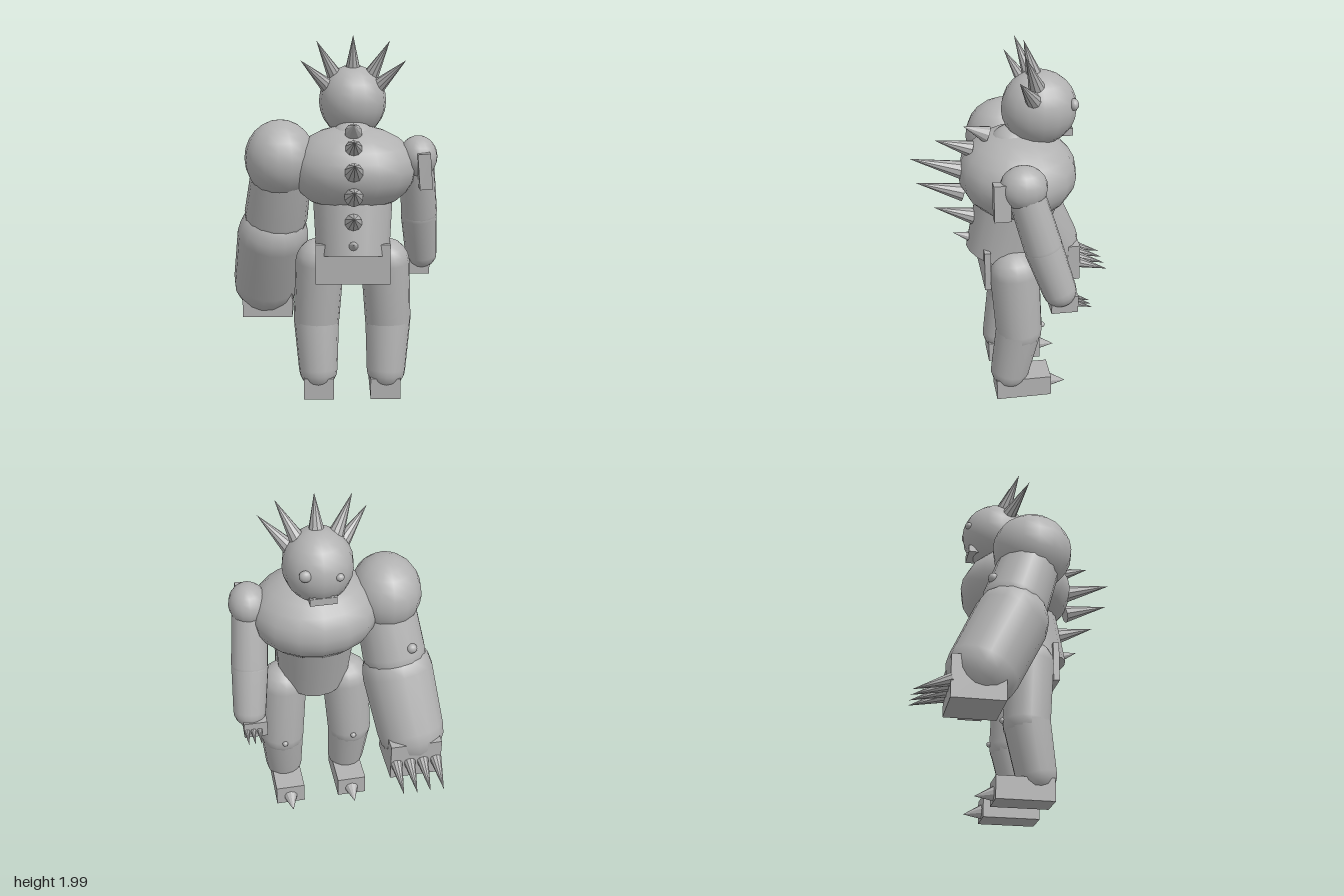
import * as THREE from 'three';

const V = (p) => new THREE.Vector3(...p);
const UP = new THREE.Vector3(0, 1, 0);

export function createModel() {
  const root = new THREE.Group();
  root.name = 'spikedGiant';
  const grey = new THREE.MeshStandardMaterial({ color: 0xb2b2b2 });
  grey.name = 'stone grey';

  const add = (name, geometry, position, parent = root) => {
    const mesh = new THREE.Mesh(geometry, grey);
    mesh.name = name;
    mesh.position.set(...position);
    parent.add(mesh);
    return mesh;
  };

  const ball = (name, center, radii, parent) => {
    const geo = new THREE.SphereGeometry(1, 16, 12).scale(...radii);
    return add(name, geo, center, parent);
  };

  const box = (name, min, max, parent) => {
    const size = max.map((v, i) => v - min[i]);
    return add(name, new THREE.BoxGeometry(...size), max.map((v, i) => (v + min[i]) / 2), parent);
  };

  // Faceted cone running from the middle of its base to its tip
  const spike = (name, base, tip, radius, parent) => {
    const dir = V(tip).sub(V(base));
    const geo = new THREE.ConeGeometry(radius, dir.length(), 10).toNonIndexed();
    geo.computeVertexNormals();
    const mesh = add(name, geo, base.map((v, i) => (v + tip[i]) / 2), parent);
    mesh.quaternion.setFromUnitVectors(UP, dir.normalize());
    return mesh;
  };

  // Tapered limb with a rounded end at each joint, revolved round its axis
  const limb = (name, from, to, r0, r1, parent) => {
    const dir = V(to).sub(V(from));
    const len = dir.length();
    const profile = [];
    for (let i = 0; i <= 5; i++) {
      const a = (i / 5) * Math.PI / 2;
      profile.push(new THREE.Vector2(r1 * Math.sin(a), -r1 * Math.cos(a)));
    }
    for (let i = 0; i <= 5; i++) {
      const a = (i / 5) * Math.PI / 2;
      profile.push(new THREE.Vector2(r0 * Math.cos(a), len + r0 * Math.sin(a)));
    }
    const mesh = add(name, new THREE.LatheGeometry(profile, 16), to, parent);
    mesh.quaternion.setFromUnitVectors(UP, dir.normalize().negate());
    return mesh;
  };

  const group = (name) => {
    const g = new THREE.Group();
    g.name = name;
    root.add(g);
    return g;
  };

  // Trunk; the face, claws and toes point to -z
  const cx = 0.1;
  ball('chest', [cx, 1.28, 0.024], [0.35, 0.235, 0.315]);
  ball('neck', [cx, 1.44, 0.045], [0.125, 0.1, 0.125]);
  const belly = add('belly', new THREE.CylinderGeometry(0.225, 0.2, 0.42, 18), [cx, 1.01, 0.06]);
  belly.rotation.x = -0.25;
  box('loinPlate', [cx - 0.2, 0.68, 0.195], [cx + 0.2, 0.9, 0.228]);

  // Head with uneven eyes, jaw and two tusks
  const head = group('head');
  ball('skull', [cx, 1.632, -0.09], [0.184, 0.196, 0.198], head);
  ball('largeEye', [0.19, 1.668, -0.255], [0.033, 0.031, 0.025], head);
  ball('smallEye', [0.02, 1.65, -0.265], [0.022, 0.02, 0.02], head);
  box('jaw', [cx - 0.07, 1.49, -0.258], [cx + 0.07, 1.53, -0.13], head);
  for (const s of [-1, 1]) {
    spike('tusk', [cx + s * 0.045, 1.53, -0.245], [cx + s * 0.045, 1.57, -0.25], 0.012, head);
    spike('outerCrownSpike', [cx + s * 0.135, 1.715, -0.04], [cx + s * 0.28, 1.86, 0.053], 0.042, head);
    spike('innerCrownSpike', [cx + s * 0.1, 1.775, -0.06], [cx + s * 0.195, 1.96, 0.01], 0.042, head);
  }
  spike('topCrownSpike', [cx, 1.8, -0.065], [cx, 1.99, -0.01], 0.043, head);

  // Row of spikes down the spine: base y, base z, tip y, tip z, radius
  const spine = group('spine');
  for (const [by, bz, ty, tz, r] of [
    [1.495, 0.18, 1.548, 0.305, 0.047],
    [1.42, 0.265, 1.48, 0.455, 0.046],
    [1.305, 0.32, 1.385, 0.587, 0.05],
    [1.175, 0.315, 1.245, 0.56, 0.05],
    [1.03, 0.26, 1.095, 0.472, 0.047],
    [0.905, 0.28, 0.937, 0.376, 0.028],
  ]) spike('spineSpike', [cx, by, bz], [cx, ty, tz], r, spine);

  // Legs, mirrored about the body line
  for (const s of [-1, 1]) {
    const leg = group(s < 0 ? 'rightLeg' : 'leftLeg');
    const x = (d) => cx + s * d;
    limb('thigh', [x(0.18), 0.765, 0.065], [x(0.2), 0.42, 0.045], 0.134, 0.127, leg);
    limb('shin', [x(0.2), 0.42, 0.047], [x(0.19), 0.15, 0.095], 0.126, 0.108, leg);
    ball('kneeStud', [x(0.2), 0.43, -0.082], [0.016, 0.016, 0.016], leg);
    box('foot', [x(0.185) - 0.083, 0, -0.127], [x(0.185) + 0.083, 0.12, 0.178], leg);
    spike('toeClaw', [x(0.185), 0.045, -0.122], [x(0.185), 0.028, -0.222], 0.04, leg);
  }

  // Oversized right arm
  const big = group('largeArm');
  ball('largeShoulder', [-0.292, 1.335, 0.04], [0.194, 0.21, 0.216], big);
  limb('largeUpperArm', [-0.285, 1.27, 0.03], [-0.325, 1.0, -0.06], 0.165, 0.176, big);
  limb('largeForearm', [-0.345, 0.88, -0.09], [-0.395, 0.575, -0.235], 0.2, 0.19, big);
  ball('armStud', [-0.39, 1.1, -0.19], [0.03, 0.028, 0.026], big);
  box('largeHand', [-0.53, 0.375, -0.412], [-0.243, 0.6, -0.14], big);
  for (let i = 0; i < 4; i++) {
    const x = -0.502 + i * 0.075;
    spike('largeClaw', [x, 0.475, -0.405], [x, 0.41, -0.59], 0.034, big);
  }

  // Slim left arm with a shoulder block
  const slim = group('slimArm');
  ball('slimShoulder', [0.452, 1.345, 0.045], [0.105, 0.115, 0.122], slim);
  limb('slimUpperArm', [0.448, 1.3, 0.03], [0.472, 1.02, -0.052], 0.094, 0.1, slim);
  limb('slimForearm', [0.472, 1.0, -0.057], [0.495, 0.765, -0.137], 0.1, 0.09, slim);
  const block = box('shoulderBlock', [0.445, 1.192, 0.115], [0.513, 1.382, 0.2], slim);
  block.rotation.z = 0.08;
  box('slimHand', [0.412, 0.65, -0.23], [0.54, 0.745, -0.09], slim);
  for (let i = 0; i < 3; i++) {
    const x = 0.456 + i * 0.034;
    spike('slimClaw', [x, 0.692, -0.226], [x, 0.662, -0.308], 0.016, slim);
  }

  return root;
}
